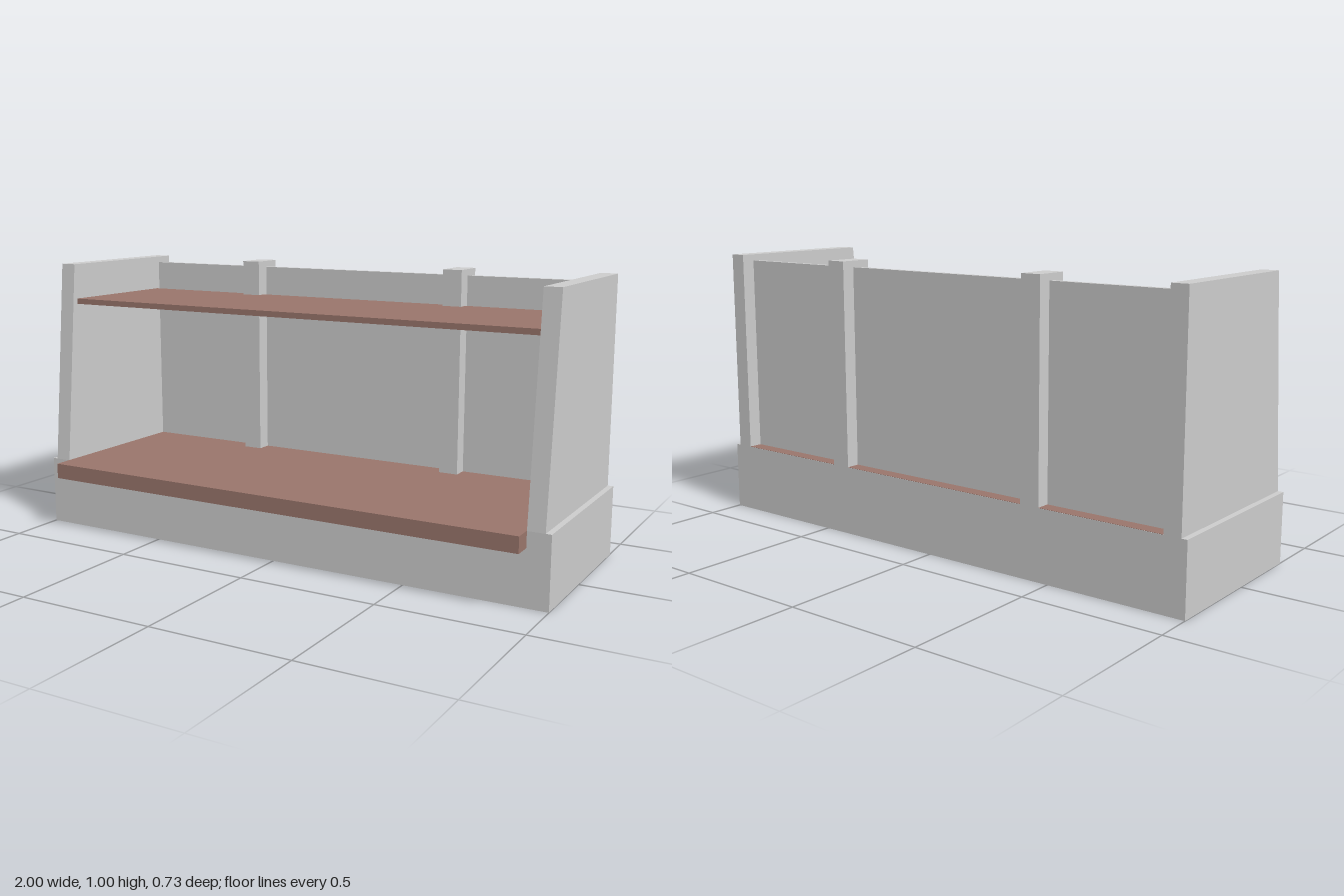
import * as THREE from 'three';

const BACK = -0.365, FRONT = 0.295, BASE_TOP = 0.25, TOP = 0.995;

export function createModel() {
  const model = new THREE.Group();
  model.name = 'shelfBench';
  const grey = new THREE.MeshStandardMaterial({ color: 0xcccccc, flatShading: true });
  const wood = new THREE.MeshStandardMaterial({ color: 0x99756b, flatShading: true });

  // Box given by its limits on each axis
  function addBox(name, material, [x0, x1], [y0, y1], [z0, z1]) {
    const mesh = new THREE.Mesh(new THREE.BoxGeometry(x1 - x0, y1 - y0, z1 - z0), material);
    mesh.position.set((x0 + x1) / 2, (y0 + y1) / 2, (z0 + z1) / 2);
    mesh.name = name;
    model.add(mesh);
  }

  // Plinth, with the lower board laid flush into its top
  addBox('base', grey, [-1, 1], [0, BASE_TOP], [BACK, FRONT]);
  addBox('lowerBoard', wood, [-0.92, 0.92], [0.195, BASE_TOP + 0.001], [BACK + 0.001, 0.363]);

  // Upper shelf and thin back panel
  addBox('upperShelf', wood, [-0.92, 0.92], [0.845, 0.865], [-0.28, 0.215]);
  addBox('backPanel', grey, [-0.92, 0.92], [BASE_TOP, 0.972], [-0.315, -0.295]);

  // End panels with a leaning front edge; profile drawn in (z, y)
  const profile = new THREE.Shape([
    new THREE.Vector2(-FRONT, BASE_TOP),
    new THREE.Vector2(-BACK, BASE_TOP),
    new THREE.Vector2(-BACK, TOP),
    new THREE.Vector2(-0.223, TOP),
  ]);
  const endGeometry = new THREE.ExtrudeGeometry(profile, { depth: 0.06, bevelEnabled: false });
  endGeometry.rotateY(Math.PI / 2); // profile x becomes -z, depth becomes x

  for (const [side, s] of [['left', 1], ['right', -1]]) {
    const end = new THREE.Mesh(endGeometry, grey);
    end.name = side + 'EndPanel';
    end.position.x = s > 0 ? 0.92 : -0.98;
    model.add(end);

    // Upright post passing through the back panel
    const c = s > 0 ? 0.423 : -0.428;
    addBox(side + 'Post', grey, [c - 0.036, c + 0.036], [BASE_TOP, TOP], [BACK, -0.24]);
  }
  return model;
}
